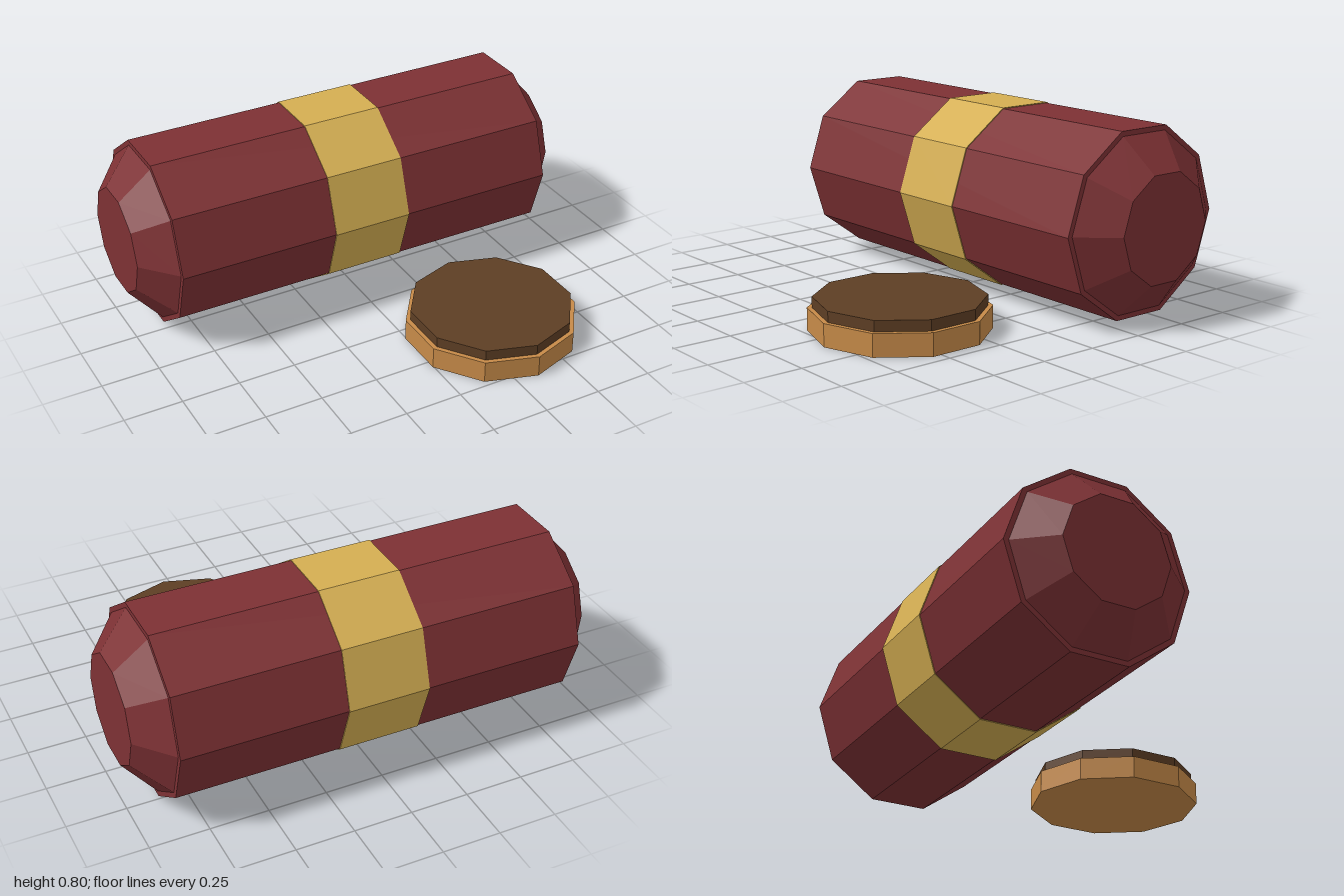
import * as THREE from 'three';

const SIDES = 10;

function material(name, color) {
  const m = new THREE.MeshStandardMaterial({ color, flatShading: true });
  m.name = name;
  return m;
}

// Ten-sided drum standing on its base, centred on its own axis
function drum(name, topRadius, bottomRadius, height, mat) {
  const mesh = new THREE.Mesh(
    new THREE.CylinderGeometry(topRadius, bottomRadius, height, SIDES), mat);
  mesh.name = name;
  return mesh;
}

export function createModel() {
  const red = material('dark red', 0x7d3134);
  const gold = material('gold', 0xd4ae52);
  const tan = material('tan', 0xc68a48);
  const brown = material('dark brown', 0x5d3e24);

  const model = new THREE.Group();
  model.name = 'rollAndDisc';

  // Lying roll: built upright, then tipped onto its side along x
  const roll = new THREE.Group();
  roll.name = 'roll';
  roll.add(drum('rollBody', 0.404, 0.404, 1.74, red));
  roll.add(drum('band', 0.408, 0.408, 0.35, gold));

  // Tapered ends, stepped in slightly from the body
  for (const side of [1, -1]) {
    const cap = drum(side > 0 ? 'rightEndCap' : 'leftEndCap',
      side > 0 ? 0.233 : 0.382, side > 0 ? 0.382 : 0.233, 0.13, red);
    cap.position.y = side * 0.935;
    roll.add(cap);
  }
  roll.rotation.z = Math.PI / 2;
  roll.position.set(0, 0.41, -0.388);
  model.add(roll);

  // Low disc with a darker inset top
  const disc = new THREE.Group();
  disc.name = 'disc';
  const base = drum('discBase', 0.37, 0.37, 0.095, tan);
  base.position.y = 0.0475;
  const top = drum('discTop', 0.35, 0.35, 0.045, brown);
  top.position.y = 0.1175;
  disc.add(base, top);
  disc.position.set(0.348, 0, 0.425);
  model.add(disc);

  return model;
}
